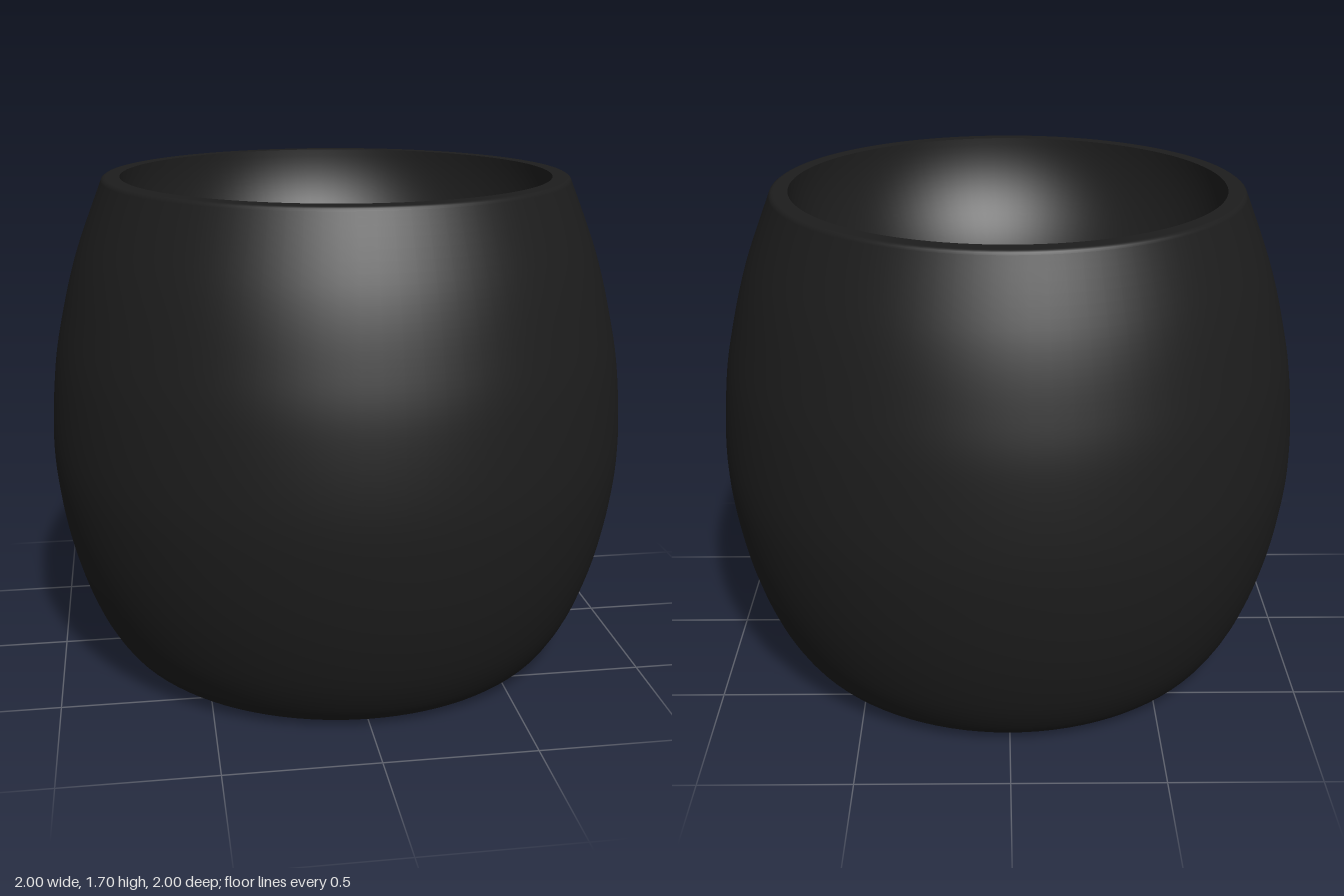
import * as THREE from 'three';

const SEGMENTS = 96;

const toVectors = points => points.map(p => new THREE.Vector2(...p));

export function createModel() {
  const charcoal = new THREE.MeshStandardMaterial({ color: 0x1d1d1d });
  charcoal.name = 'charcoal';
  const cup = new THREE.Group();
  cup.name = 'cup';

  function addLathe(name, profile) {
    const mesh = new THREE.Mesh(new THREE.LatheGeometry(profile, SEGMENTS), charcoal);
    mesh.name = name;
    cup.add(mesh);
  }

  // Flat underside
  addLathe('base', toVectors([[0, 0], [0.7, 0]]));

  // Bulging outside wall with a rounded foot
  const wall = new THREE.SplineCurve(toVectors([
    [0.7, 0], [0.75, 0.015], [0.81, 0.075], [0.88, 0.2], [0.942, 0.38], [0.983, 0.58],
    [1, 0.79], [0.982, 1.05], [0.944, 1.25], [0.889, 1.45], [0.799, 1.683],
  ]));
  addLathe('outerWall', wall.getPoints(80));

  // Narrow lip, softened at its outer edge
  addLathe('rim', toVectors([
    [0.799, 1.683], [0.796, 1.69], [0.789, 1.695], [0.782, 1.696], [0.735, 1.696],
  ]));

  // Rounded bowl, steep at the lip and level in the middle
  const bowl = [];
  for (let i = 0; i <= 40; i++) {
    const a = (i / 40) * Math.PI / 2;
    bowl.push(new THREE.Vector2(i === 40 ? 0 : 0.735 * Math.cos(a), 1.696 - 0.6 * Math.sin(a)));
  }
  addLathe('interior', bowl);

  return cup;
}
